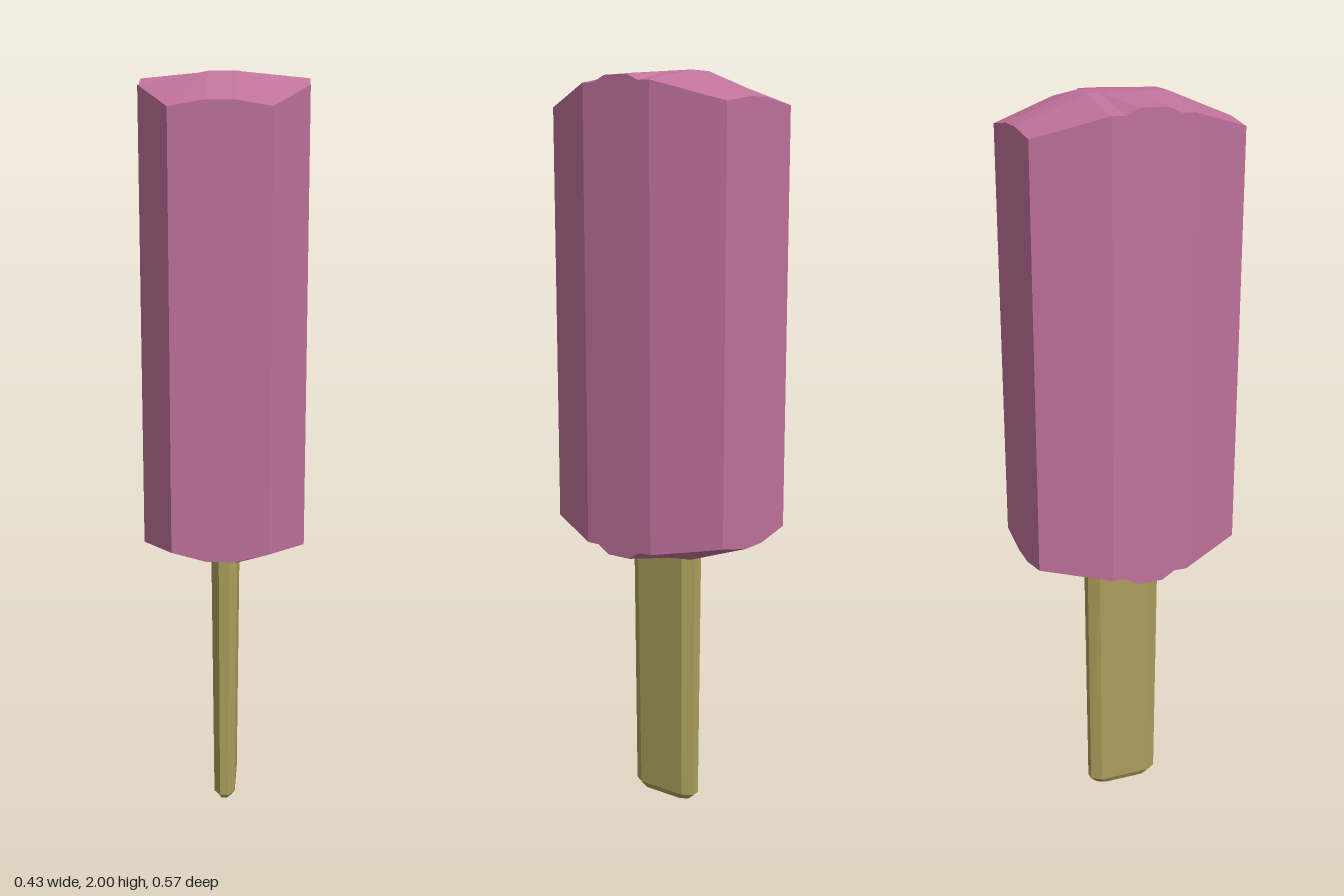
import * as THREE from 'three';

// Skin a series of rings (counter-clockwise seen from the end they advance to) and cap both ends.
function loft(rings) {
  const pos = [];
  const tri = (a, b, c) => pos.push(...a, ...b, ...c);
  const n = rings[0].length;
  for (let k = 0; k < rings.length - 1; k++) {
    for (let i = 0; i < n; i++) {
      const j = (i + 1) % n;
      const a = rings[k][i], b = rings[k][j], c = rings[k + 1][j], d = rings[k + 1][i];
      tri(a, b, c);
      tri(a, c, d);
    }
  }
  const first = rings[0], last = rings[rings.length - 1];
  for (let i = 1; i < n - 1; i++) {
    tri(first[0], first[i + 1], first[i]);
    tri(last[0], last[i], last[i + 1]);
  }
  const geometry = new THREE.BufferGeometry();
  geometry.setAttribute('position', new THREE.Float32BufferAttribute(pos, 3));
  geometry.computeVertexNormals();
  return geometry;
}

export function createModel() {
  const group = new THREE.Group();
  group.name = 'icePop';

  const pink = new THREE.MeshStandardMaterial({ color: 0xc0729b });
  pink.name = 'pink ice';
  const wood = new THREE.MeshStandardMaterial({ color: 0xac9f5b });
  wood.name = 'wood';

  // Ice: sections from back to front, [z, half width, top centre, top edge, bottom centre, bottom edge]
  const c = 0.037;
  const sections = [
    [-0.285, 0.145, 1.93, 1.915, 0.782, 0.805],
    [-0.105, 0.215, 2, 1.967, 0.72, 0.775],
    [-0.07, 0.215, 2, 1.967, 0.72, 0.775],
    [-0.035, 0.215, 2, 1.983, 0.72, 0.753],
    [0.035, 0.215, 2, 1.983, 0.72, 0.753],
    [0.07, 0.215, 2, 1.967, 0.72, 0.775],
    [0.105, 0.215, 2, 1.967, 0.72, 0.775],
    [0.282, 0.126, 1.93, 1.915, 0.782, 0.805],
  ];
  const ice = new THREE.Mesh(loft(sections.map(([z, w, tc, te, bc, be]) => [
    [-w, be, z], [-c, bc, z], [c, bc, z], [w, be, z],
    [w, te, z], [c, tc, z], [-c, tc, z], [-w, te, z],
  ])), pink);
  ice.name = 'ice';
  group.add(ice);

  // Stick: chamfered sections from the bevelled tip upwards, [y, half thickness, half width]
  const stickRing = ([y, x, z]) => {
    const xi = x * 0.4, zi = z * 0.72;
    return [
      [xi, y, z], [x, y, zi], [x, y, -zi], [xi, y, -z],
      [-xi, y, -z], [-x, y, -zi], [-x, y, zi], [-xi, y, z],
    ];
  };
  const stick = new THREE.Mesh(loft([
    [0, 0.02, 0.08], [0.018, 0.029, 0.1], [0.76, 0.036, 0.105],
  ].map(stickRing)), wood);
  stick.name = 'stick';
  group.add(stick);

  return group;
}
